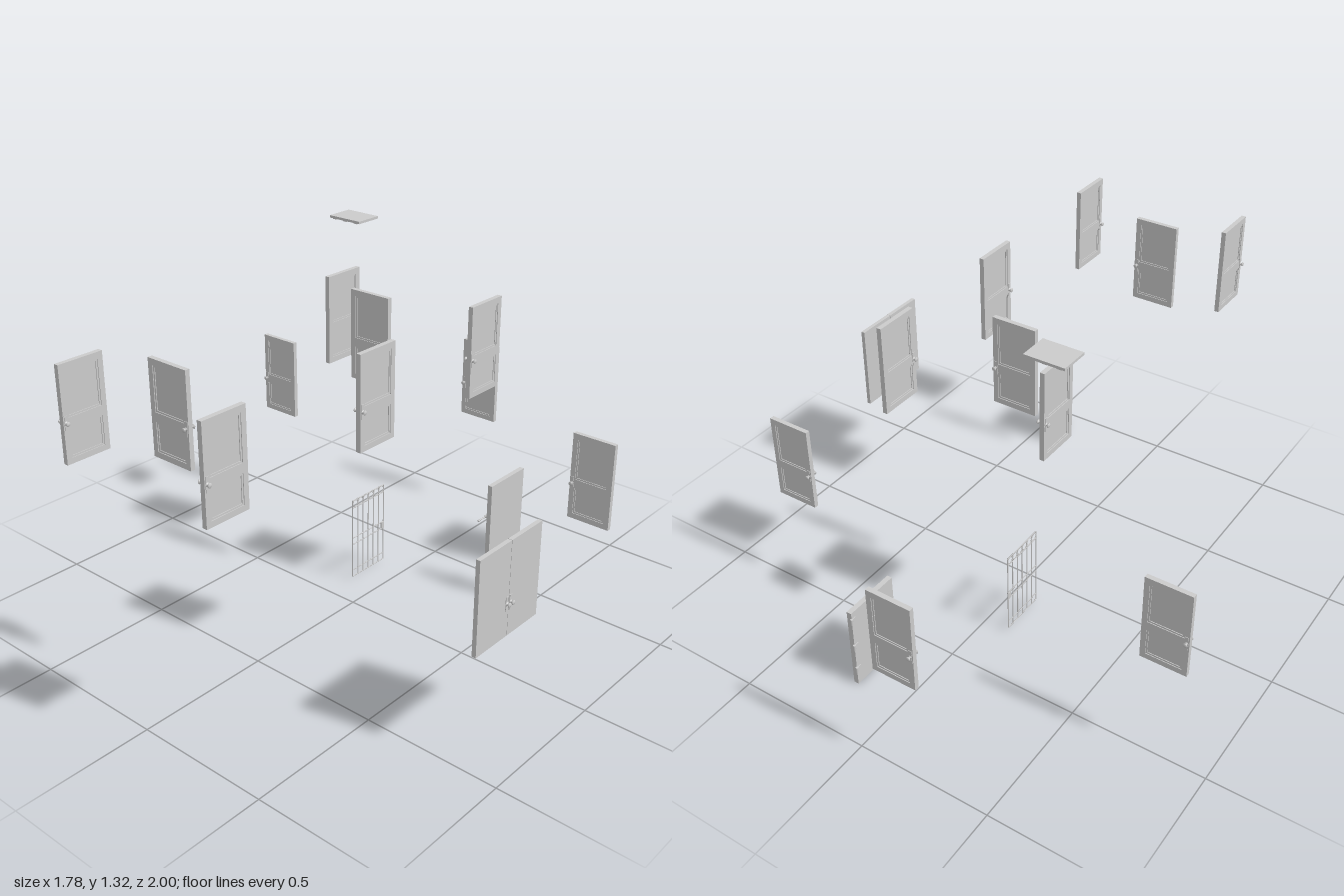
import * as THREE from 'three';

const mat = new THREE.MeshStandardMaterial({ color: 0xcccccc });

function add(parent, name, geo, x = 0, y = 0, z = 0) {
  const m = new THREE.Mesh(geo, mat);
  m.name = name;
  m.position.set(x, y, z);
  parent.add(m);
  return m;
}
const box = (w, h, d) => new THREE.BoxGeometry(w, h, d);

function group(parent, name, x, y, z, turn = 0) {
  const g = new THREE.Group();
  g.name = name;
  g.position.set(x, y, z);
  g.rotation.y = turn;
  parent.add(g);
  return g;
}

// Flat rectangle with rectangular openings, centred in depth.
function frameGeo([x0, y0, x1, y1], holes, depth) {
  const rect = (p, a, b, c, d) => {
    p.moveTo(a, b); p.lineTo(c, b); p.lineTo(c, d); p.lineTo(a, d); p.closePath();
    return p;
  };
  const shape = rect(new THREE.Shape(), x0, y0, x1, y1);
  for (const h of holes) shape.holes.push(rect(new THREE.Path(), ...h));
  return new THREE.ExtrudeGeometry(shape, { depth, bevelEnabled: false }).translate(0, 0, -depth / 2);
}

// Turned knob pointing along +z, starting at z = 0.
function knobGeo() {
  const pts = [[0, 0], [0.007, 0], [0.007, 0.002], [0.003, 0.003], [0.003, 0.007],
    [0.007, 0.009], [0.008, 0.011], [0.006, 0.0135], [0, 0.014]];
  return new THREE.LatheGeometry(pts.map(p => new THREE.Vector2(...p)), 14).rotateX(Math.PI / 2);
}

// A knob and back plate on both faces of a leaf.
function knobPair(parent, x, y, half) {
  for (const side of [0, Math.PI]) {
    const g = group(parent, 'handle', x, y, 0, side);
    add(g, 'backPlate', box(0.012, 0.05, 0.003), 0, 0, half + 0.0005);
    add(g, 'knob', knobGeo(), 0, 0, half);
  }
}

// Two-panel door, width along x, handle near its +x edge.
const W = 0.165, H = 0.327, T = 0.017;
function panelDoor(parent, x, y, z, turn) {
  const g = group(parent, 'panelDoor', x, y, z, turn);
  const px = W / 2 - 0.019;
  const panels = [[-px, 0.02, px, 0.12], [-px, 0.153, px, 0.305]];
  add(g, 'doorFrame', frameGeo([-W / 2, 0, W / 2, H], panels, T));
  for (const p of panels) {
    const i = 0.006;
    const inner = [p[0] + i, p[1] + i, p[2] - i, p[3] - i];
    add(g, 'moulding', frameGeo(p, [inner], 0.012));
    add(g, 'panel', box(inner[2] - inner[0], inner[3] - inner[1], 0.007),
      0, (inner[1] + inner[3]) / 2, 0);
  }
  knobPair(g, 0.073, 0.137, T / 2);
}

// Pair of plain leaves meeting in the middle.
function doubleDoor(parent, x, y, z) {
  const g = group(parent, 'doubleDoor', x, y, z, Math.PI / 2);
  for (const s of [-1, 1]) {
    add(g, 'doorLeaf', box(0.158, 0.33, 0.015), s * 0.0797, 0.165, 0);
    knobPair(g, s * 0.01, 0.117, 0.0075);
  }
}

// Heavy slab with hinges, dial and lever on its -x face.
function vaultDoor(parent) {
  const g = group(parent, 'heavyDoor', 0.195, 0.005, -0.685);
  add(g, 'doorSlab', box(0.019, 0.327, 0.215), 0, 0.1635, 0);
  for (const y of [0.07, 0.175, 0.293]) {
    add(g, 'hingeBarrel', new THREE.CylinderGeometry(0.005, 0.005, 0.024, 10), -0.012, y, -0.11);
    add(g, 'hingeLeaf', box(0.003, 0.02, 0.02), -0.011, y, -0.099);
  }
  const disc = (r, w) => new THREE.CylinderGeometry(r, r, w, 16).rotateZ(Math.PI / 2);
  add(g, 'dialPlate', disc(0.013, 0.004), -0.011, 0.175, 0);
  add(g, 'dial', disc(0.008, 0.022), -0.02, 0.175, 0);
  add(g, 'leverPlate', disc(0.013, 0.004), -0.011, 0.175, 0.083);
  add(g, 'leverHub', disc(0.006, 0.025), -0.022, 0.175, 0.083);
  add(g, 'lever', new THREE.CylinderGeometry(0.003, 0.003, 0.05, 8).rotateX(Math.PI / 2),
    -0.03, 0.175, 0.105);
  add(g, 'leverTip', new THREE.SphereGeometry(0.005, 10, 8), -0.03, 0.175, 0.13);
}

// Barred gate running along z.
function gate(parent) {
  const g = group(parent, 'barredGate', -0.102, 0.024, -0.206);
  const r = 0.002, width = 0.18, height = 0.325, cell = width / 6;
  for (let i = 0; i <= 6; i++) {
    add(g, 'verticalBar', new THREE.CylinderGeometry(r, r, height, 6), 0, height / 2, (i - 3) * cell);
  }
  for (const y of [0, 0.028, 0.139, 0.166, 0.294, height]) {
    add(g, 'crossBar', new THREE.CylinderGeometry(r, r, width, 6).rotateX(Math.PI / 2), 0, y, 0);
  }
  for (let i = 0; i < 6; i++) {
    add(g, 'ring', new THREE.TorusGeometry(0.0135, 0.0015, 6, 16).rotateY(Math.PI / 2),
      0, 0.3095, (i - 2.5) * cell);
  }
  add(g, 'lockBox', box(0.006, 0.027, 0.014), 0, 0.1525, -width / 2 + 0.006);
}

// Flat hatch with battens underneath.
function hatch(parent) {
  const g = group(parent, 'hatch', -0.35, 1.316, -0.408);
  add(g, 'hatchBoard', box(0.142, 0.009, 0.105), 0, 0.0075, 0);
  for (const x of [-0.05, 0, 0.05]) add(g, 'batten', box(0.018, 0.004, 0.1), x, 0.002, 0);
}

export function createModel() {
  const model = new THREE.Group();
  model.name = 'doorCollection';
  const low = 0.391, high = 0.849, q = Math.PI / 2;
  // x, y, z, turn (the turn sets which edge carries the handle)
  const doors = [
    [-0.153, low, -0.978, 2 * q], [-0.81, low, -0.477, 2 * q], [0.686, low, -0.477, 2 * q],
    [-0.253, high, -0.235, q], [0.325, high, -0.302, -q], [-0.018, high, -0.115, 0],
    [0.325, high, 0.267, -q], [-0.052, high, 0.77, 0],
    [-0.29, high, 0.914, -q], [0.325, high, 0.914, -q],
  ];
  for (const d of doors) panelDoor(model, ...d);
  doubleDoor(model, 0.868, low, 0.3);
  vaultDoor(model);
  gate(model);
  hatch(model);
  return model;
}
